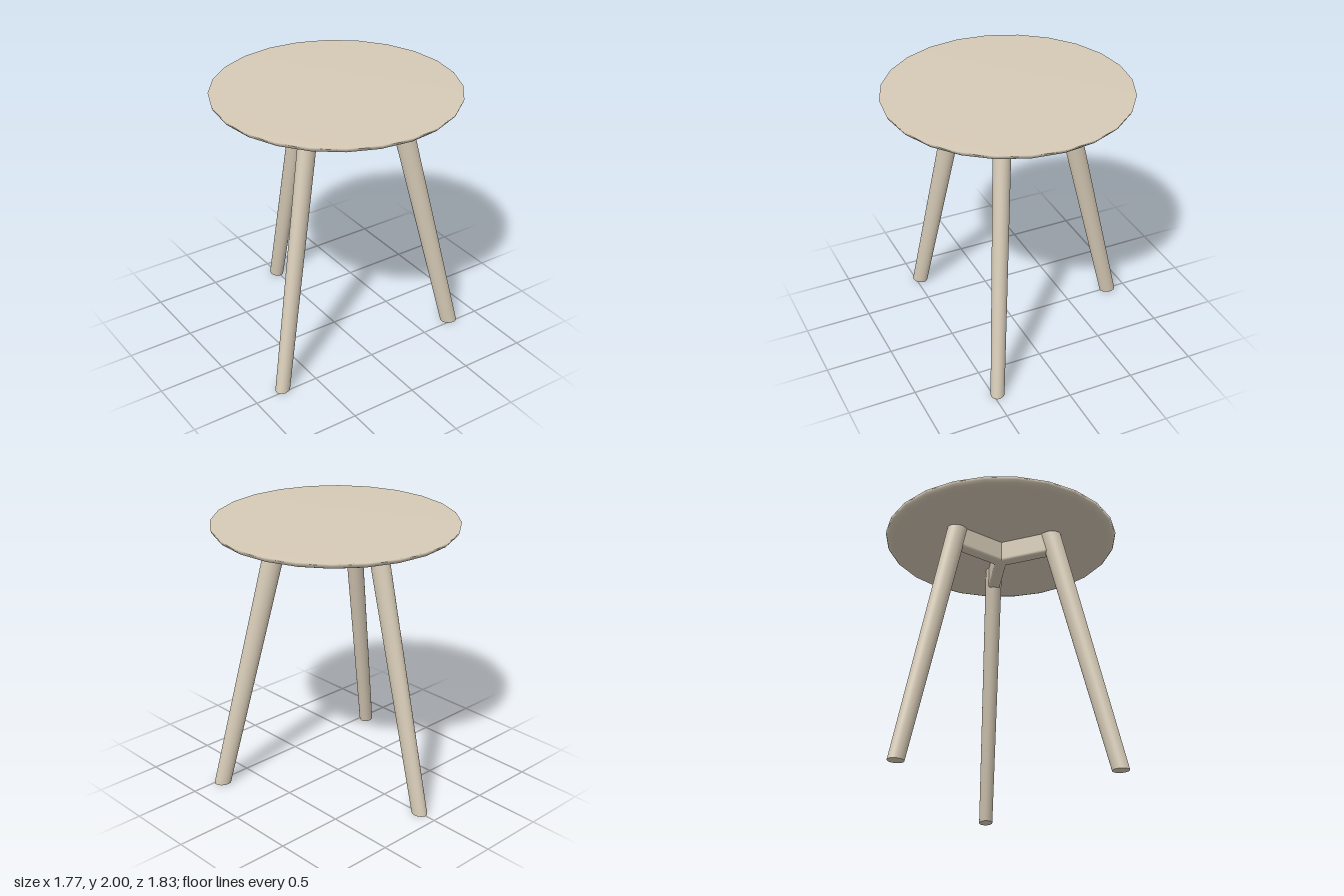
import * as THREE from 'three';

const SEAT_Z = 0.025;   // the seat and leg star share this centre
const UNDER = 1.95;     // underside of the seat
const TOP_R = 0.41;     // leg distance from centre at the top
const FOOT_R = 0.88;    // leg distance from centre at the floor

// Oval tapered leg, sheared outward so both ends stay horizontal
function legGeometry() {
  const g = new THREE.CylinderGeometry(0.064, 0.0505, UNDER, 32);
  g.scale(1, 1, 1.23);
  g.translate(0, UNDER / 2, 0);
  const shear = new THREE.Matrix4();
  shear.elements[6] = (TOP_R - FOOT_R) / UNDER; // z += k * y
  shear.elements[14] = FOOT_R;
  return g.applyMatrix4(shear);
}

// Plank with rounded lower edges, running from the centre to a leg
function armGeometry() {
  const w = 0.045, y0 = 1.788, r = 0.025;
  const s = new THREE.Shape();
  s.moveTo(w, UNDER);
  s.lineTo(-w, UNDER);
  s.lineTo(-w, y0 + r);
  s.quadraticCurveTo(-w, y0, -w + r, y0);
  s.lineTo(w - r, y0);
  s.quadraticCurveTo(w, y0, w, y0 + r);
  s.closePath();
  return new THREE.ExtrudeGeometry(s, { depth: TOP_R + 0.02, bevelEnabled: false, curveSegments: 6 });
}

export function createModel() {
  const group = new THREE.Group();
  const wood = new THREE.MeshStandardMaterial({ color: 0xd6cab6 });
  const add = (name, geometry, angle = 0) => {
    const mesh = new THREE.Mesh(geometry, wood);
    mesh.name = name;
    mesh.rotation.y = angle;
    mesh.position.z = SEAT_Z;
    group.add(mesh);
  };

  // Round seat with a rounded lower rim
  const profile = [
    [0, UNDER], [0.81, UNDER], [0.84, 1.954], [0.865, 1.964],
    [0.88, 1.98], [0.887, 2], [0, 2],
  ].map(([r, y]) => new THREE.Vector2(r, y));
  add('seat', new THREE.LatheGeometry(profile, 24));

  // Three splayed legs, each joined to the centre by a brace arm
  const leg = legGeometry();
  const arm = armGeometry();
  for (const [side, angle] of [['Left', Math.PI / 3], ['Right', -Math.PI / 3], ['Back', Math.PI]]) {
    add('leg' + side, leg, angle);
    add('braceArm' + side, arm, angle);
  }
  return group;
}
